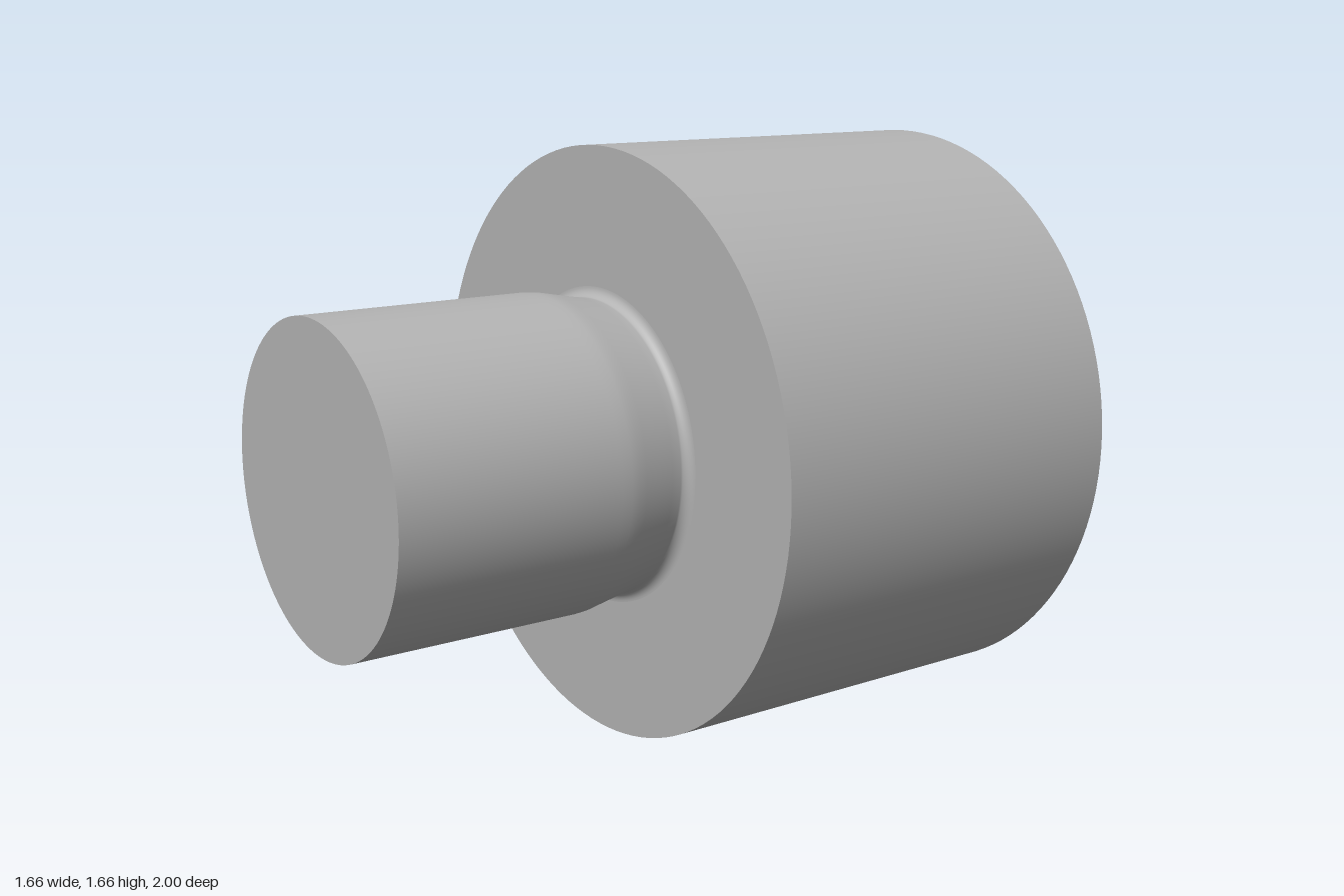
import * as THREE from 'three';

export function createModel() {
  const model = new THREE.Group();
  model.name = 'steppedAdapter';
  const steel = new THREE.MeshStandardMaterial({ color: 0xb3b3b3 });
  steel.name = 'grey metal';

  const R = 0.83;      // body radius
  const r = 0.445;     // spigot and bore radius
  const shoulder = 0.13;

  // Revolve [radius, z] points around the z axis; separate parts keep edges sharp
  function turned(name, points) {
    const geometry = new THREE.LatheGeometry(points.map(([x, z]) => new THREE.Vector2(x, z)), 128);
    geometry.rotateX(Math.PI / 2);
    const mesh = new THREE.Mesh(geometry, steel);
    mesh.name = name;
    mesh.position.y = R;
    model.add(mesh);
  }

  // Blind bore in the back, ending in a drilled cone
  turned('boreCone', [[0, -0.29], [r, -0.715]]);
  turned('boreWall', [[r, -0.715], [r, -1]]);

  // Large body
  turned('backFace', [[r, -1], [R, -1]]);
  turned('bodyWall', [[R, -1], [R, shoulder]]);
  turned('shoulderFace', [[R, shoulder], [0.445, shoulder]]);

  // Small fillet at the shoulder, leading into the flared neck
  const neck = [];
  for (let i = 0; i <= 8; i++) {
    const a = (i / 8) * 1.4;
    neck.push([0.445 - 0.03 * Math.sin(a), shoulder + 0.03 * (1 - Math.cos(a))]);
  }
  neck.push([0.42, 0.185], [0.438, 0.28], [0.443, 0.305], [r, 0.33], [r, 0.36]);
  turned('neck', neck);

  // Plain spigot with a flat end
  turned('spigotWall', [[r, 0.36], [r, 1]]);
  turned('spigotEnd', [[r, 1], [0, 1]]);

  return model;
}
